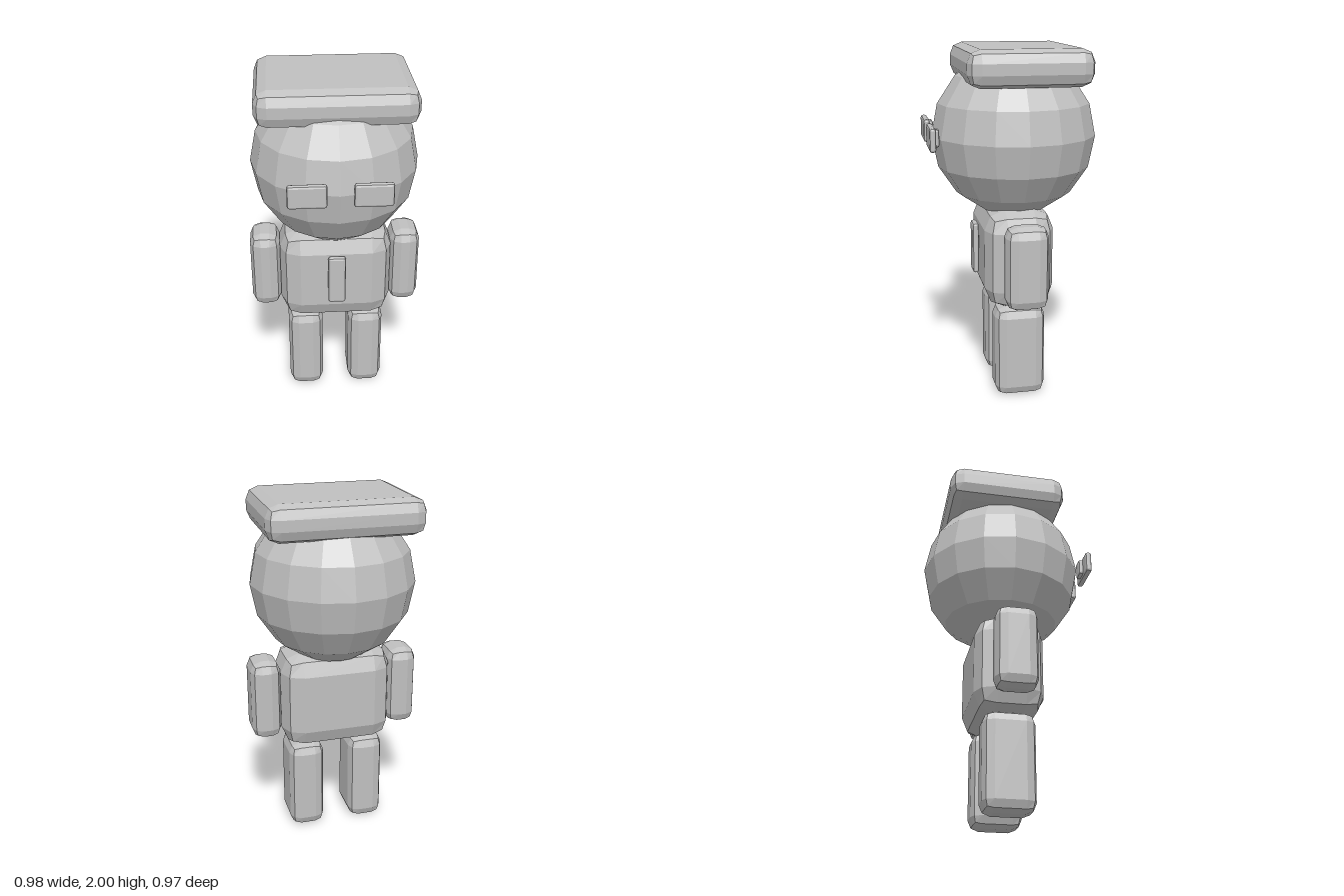
import * as THREE from 'three';
import { RoundedBoxGeometry } from 'three/addons/geometries/RoundedBoxGeometry.js';

export function createModel() {
  const model = new THREE.Group();
  const grey = new THREE.MeshStandardMaterial({ color: 0xc0c0c0, flatShading: true });
  grey.name = 'plainGrey';

  const add = (name, geometry, x, y, z) => {
    const mesh = new THREE.Mesh(geometry, grey);
    mesh.name = name;
    mesh.position.set(x, y, z);
    model.add(mesh);
  };
  // Box with a two-facet bevel along every edge
  const block = (name, [w, h, d], r, x, y, z) =>
    add(name, new RoundedBoxGeometry(w, h, d, 1, r), x, y, z);

  // Head and flat cap
  add('head', new THREE.SphereGeometry(0.465, 16, 8), 0, 1.51, -0.02);
  block('cap', [0.855, 0.2, 0.675], 0.07, 0, 1.9, -0.0475);

  // Body with chest strip
  block('torso', [0.64, 0.57, 0.39], 0.115, 0, 0.83, -0.0125);
  block('chestStrip', [0.1, 0.3, 0.036], 0.014, 0, 0.85, 0.207);

  // Paired parts
  for (const [side, s] of [['left', 1], ['right', -1]]) {
    block(side + 'Leg', [0.205, 0.545, 0.29], 0.06, s * 0.18, 0.2765, -0.0155);
    block(side + 'Arm', [0.17, 0.47, 0.235], 0.06, s * 0.405, 0.84, -0.0145);
    block(side + 'EyePlate', [0.205, 0.13, 0.036], 0.014, s * 0.17, 1.525, 0.462);
    block(side + 'EyeMount', [0.075, 0.1, 0.036], 0.014, s * 0.167, 1.525, 0.438);
  }
  return model;
}
